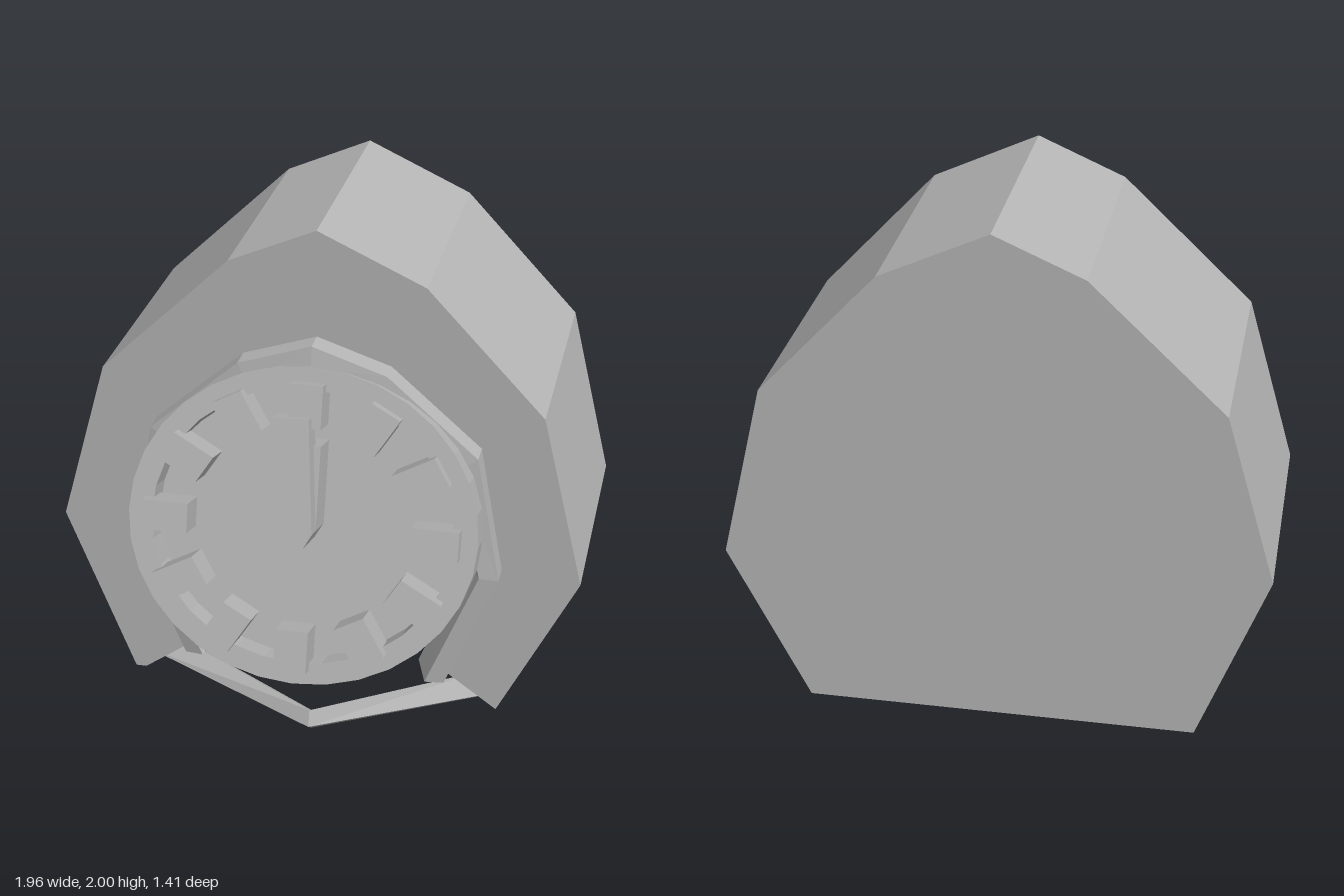
import * as THREE from 'three';

const stone = new THREE.MeshStandardMaterial({ color: 0xb5b5b5, side: THREE.DoubleSide });
stone.name = 'stone grey';

const shapeOf = (pts) => new THREE.Shape(pts.map(([x, y]) => new THREE.Vector2(x, y)));
const mirrored = (pts) => pts.slice(0, -1).reverse().map(([x, ...r]) => [-x, ...r]);

function add(parent, name, geometry) {
  const mesh = new THREE.Mesh(geometry, stone);
  mesh.name = name;
  parent.add(mesh);
  return mesh;
}

// Straight slab of an outline between two depths
function slab(shape, z0, z1) {
  return new THREE.ExtrudeGeometry(shape, { depth: z1 - z0, bevelEnabled: false, curveSegments: 16 }).translate(0, 0, z0);
}

// Faceted beam joining four-cornered sections, closed at both ends
function beam(sections) {
  const pos = [];
  const quad = (a, b, c, d) => [a, b, c, a, c, d].forEach((p) => pos.push(...p));
  for (let i = 0; i < sections.length - 1; i++) {
    const s = sections[i], t = sections[i + 1];
    for (let j = 0; j < 4; j++) quad(s[j], t[j], t[(j + 1) % 4], s[(j + 1) % 4]);
  }
  quad(...sections[0]);
  quad(...[...sections[sections.length - 1]].reverse());
  const g = new THREE.BufferGeometry();
  g.setAttribute('position', new THREE.Float32BufferAttribute(pos, 3));
  g.computeVertexNormals();
  return g;
}

// Ring or disc outline
function circle(radius, hole) {
  const s = new THREE.Shape().absarc(0, 0, radius, 0, Math.PI * 2, false);
  if (hole) s.holes.push(new THREE.Path().absarc(0, 0, hole, 0, Math.PI * 2, true));
  return s;
}

export function createModel() {
  const model = new THREE.Group();
  model.name = 'alcoveClock';

  // Rough body: solid back, hollowed front with an opening down to the ground
  const outline = [[0.69, 0.11], [0.98, 0.7], [0.82, 1.36], [0.39, 1.82], [0, 2],
    [-0.32, 1.86], [-0.8, 1.4], [-0.98, 0.77], [-0.73, 0.11]];
  const halfArch = [[0.69, 0.11], [0.47, 0.27], [0.6, 0.74], [0.53, 1.17], [0.24, 1.44], [0, 1.52]];
  const arch = [...halfArch, ...mirrored(halfArch)];
  add(model, 'backWall', slab(shapeOf(outline), -0.7, -0.52));
  add(model, 'hollowBody', slab(shapeOf([...outline, ...arch.slice().reverse().slice(0, -1)]), -0.52, 0.235));

  // Arched trim: outer x, y, then inner front x, y, then inner back x, y
  const halfTrim = [
    [[0.5, 0.26], [0.43, 0.265], [0.39, 0.295]],
    [[0.69, 0.73], [0.62, 0.74], [0.57, 0.75]],
    [[0.6, 1.22], [0.53, 1.17], [0.49, 1.14]],
    [[0.27, 1.51], [0.23, 1.44], [0.21, 1.41]],
    [[0, 1.6], [0, 1.53], [0, 1.49]],
  ];
  const trimSection = ([o, f, b]) => [[...o, 0.235], [...o, 0.32], [...f, 0.335], [...b, 0.235]];
  const flipTrim = (s) => s.map(([x, y]) => [-x, y]);
  add(model, 'archTrim', beam([...halfTrim, ...halfTrim.slice(0, -1).reverse().map(flipTrim)].map(trimSection)));

  // Bent sill bar at the foot of the opening
  const middle = [[0, 0, 0.35], [0, 0.045, 0.41], [0, 0.105, 0.385], [0, 0.065, 0.33]];
  const endX = [0.69, 0.7, 0.6, 0.6];
  const sillEnd = (side) => middle.map(([, y, z], i) => [side * endX[i], y + 0.09, z - 0.26]);
  add(model, 'sillBar', beam([sillEnd(-1), middle, sillEnd(1)]));

  // Leaning clock; local z = 0 is the front of its rim
  const clock = new THREE.Group();
  clock.name = 'clock';
  clock.position.set(0, 0.975, 0.505);
  clock.rotation.x = -0.295;
  clock.scale.y = 0.91;
  model.add(clock);
  add(clock, 'clockBack', slab(circle(0.6), -0.21, -0.11));
  add(clock, 'clockRim', slab(circle(0.637, 0.55), -0.115, 0));

  // Twelve hour blocks
  for (let i = 0; i < 12; i++) {
    const block = add(clock, 'hourBlock', new THREE.BoxGeometry(0.17, 0.12, 0.13));
    const a = (i * Math.PI) / 6;
    block.position.set(0.49 * Math.cos(a), 0.49 * Math.sin(a), -0.01);
    block.rotation.z = a;
  }

  // Two hands, one in front of the other
  const foot = [[-0.06, 0], [-0.03, -0.06], [0.03, -0.06], [0.06, 0]];
  add(clock, 'longHand', slab(shapeOf([...foot, [0.025, 0.45], [-0.105, 0.445]]), 0, 0.1));
  add(clock, 'shortHand', slab(shapeOf([...foot, [0.06, 0.335], [-0.05, 0.335]]), -0.112, 0.03));

  return model;
}
